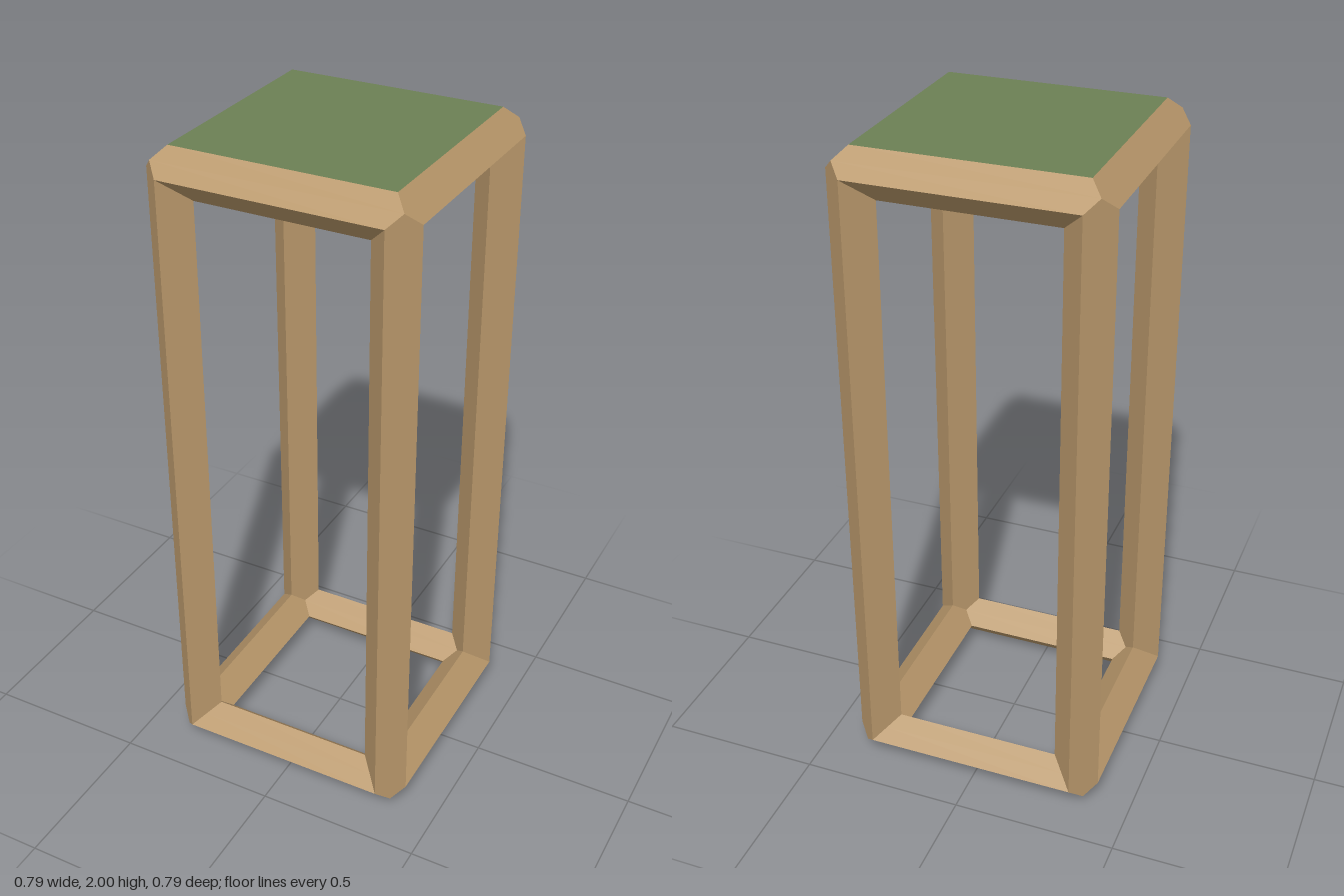
import * as THREE from 'three';

const HALF = [0.326, 0.93, 0.326]; // centre lines of the beams, per axis
const R = 0.07;                    // half diagonal of the square beams

// Diamond cross-section [p, q, end offset]; the offset shapes the three-way mitre
const RING = [
  [1, 0, 0], [0.5, 0.5, 0.5], [0, 1, 0], [-0.5, 0.5, -0.5],
  [-1, 0, -1], [-0.5, -0.5, -0.5], [0, -1, -1], [0.5, -0.5, -0.5],
];

// Mitred beam along one axis, on the edge given by the signs of the other two
function beamGeometry(axis, sp, sq) {
  const pAxis = (axis + 1) % 3, qAxis = (axis + 2) % 3;
  const point = ([p, q, u], end) => {
    const v = [0, 0, 0];
    v[axis] = end * (HALF[axis] + u * R);
    v[pAxis] = sp * (HALF[pAxis] + p * R);
    v[qAxis] = sq * (HALF[qAxis] + q * R);
    return v;
  };
  const positions = [];
  RING.forEach((a, i) => {
    const b = RING[(i + 1) % RING.length];
    const quad = [point(a, -1), point(b, -1), point(b, 1), point(a, 1)];
    if (sp * sq < 0) quad.reverse();
    for (const k of [0, 1, 2, 0, 2, 3]) positions.push(...quad[k]);
  });
  const geometry = new THREE.BufferGeometry();
  geometry.setAttribute('position', new THREE.Float32BufferAttribute(positions, 3));
  geometry.computeVertexNormals();
  return geometry;
}

export function createModel() {
  const model = new THREE.Group();
  model.name = 'pedestalStand';
  const wood = new THREE.MeshStandardMaterial({ color: 0xb8976a });
  const green = new THREE.MeshStandardMaterial({ color: 0x6c8054 });

  // Frame: four beams along each axis
  const frame = new THREE.Group();
  frame.name = 'frame';
  frame.position.y = HALF[1] + R;
  const names = ['crossRail', 'post', 'sideRail'];
  names.forEach((name, axis) => {
    for (const sp of [-1, 1]) for (const sq of [-1, 1]) {
      const beam = new THREE.Mesh(beamGeometry(axis, sp, sq), wood);
      beam.name = name;
      frame.add(beam);
    }
  });
  model.add(frame);

  // Top panel, flush with the upper ridges
  const panel = new THREE.Mesh(new THREE.BoxGeometry(0.652, 0.01, 0.652), green);
  panel.name = 'topPanel';
  panel.position.y = 1.995;
  model.add(panel);

  return model;
}
